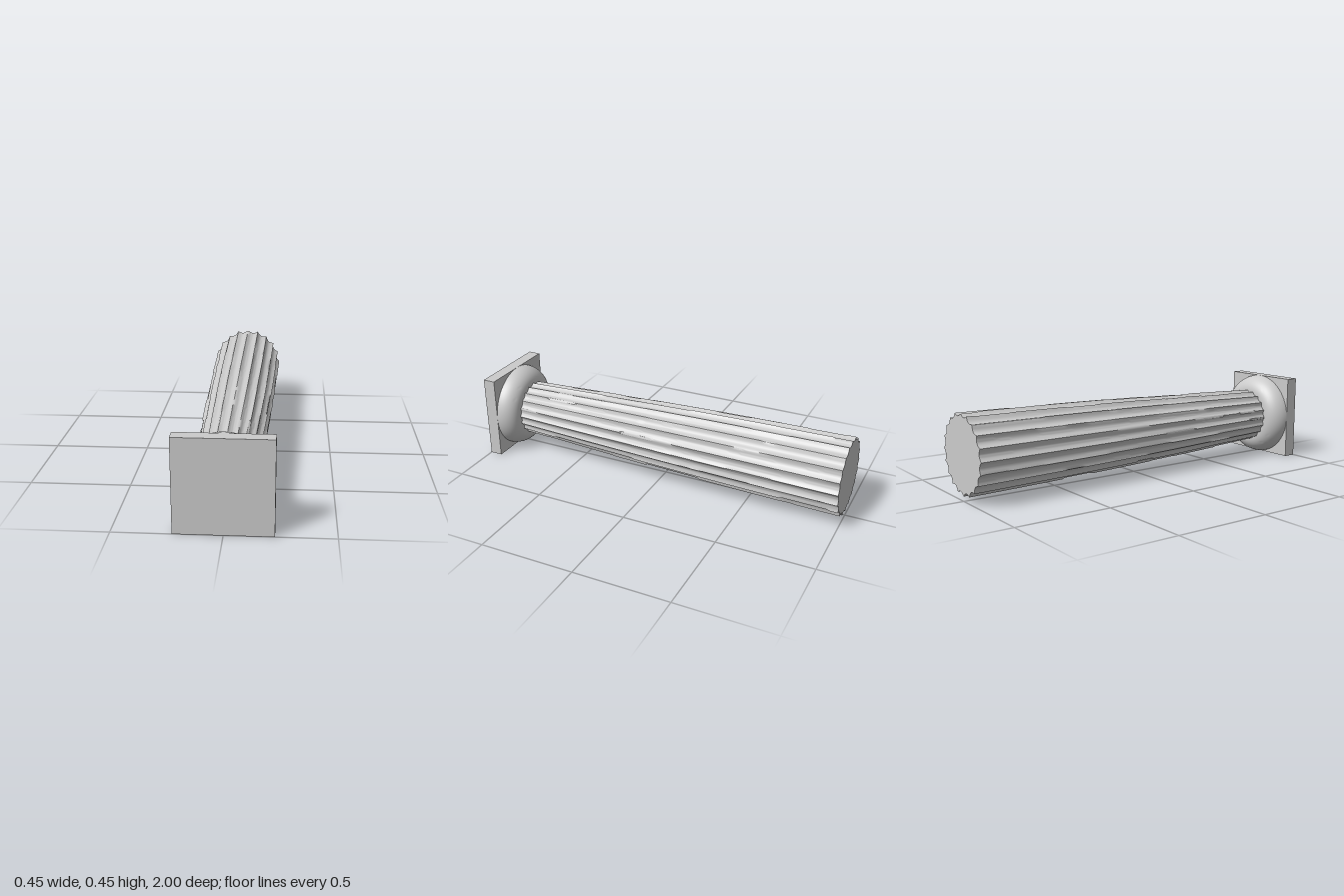
import * as THREE from 'three';
import { toCreasedNormals } from 'three/addons/utils/BufferGeometryUtils.js';

const FLUTES = 20, SEGS = 8, ROWS = 90;
const Z_BASE = -1, Z_NECK = 0.835, CENTER_Y = 0.226;

// Small seeded generator for the weathering
function seeded(seed) {
  return () => (seed = (seed * 16807) % 2147483647) / 2147483647;
}

// Chipped depth for every ridge, in runs of uneven length along the shaft
function makeWear() {
  const rand = seeded(4217);
  return Array.from({ length: FLUTES }, () => {
    const runs = [];
    while (runs.length <= ROWS) {
      const length = 2 + Math.floor(rand() * 14);
      const depth = rand() < 0.5 ? rand() * 0.006 : 0;
      for (let i = 0; i < length; i++) runs.push(depth);
    }
    return runs;
  });
}

// Tapered shaft with concave flutes and worn ridges
function shaftGeometry() {
  const wear = makeWear();
  const geo = new THREE.CylinderGeometry(1, 1, 1, FLUTES * SEGS, ROWS);
  const pos = geo.attributes.position;
  for (let i = 0; i < pos.count; i++) {
    const x = pos.getX(i), y = pos.getY(i), z = pos.getZ(i);
    const t = 0.5 - y;                                  // 0 at neck, 1 at foot
    const height = Z_NECK + (Z_BASE - Z_NECK) * t;
    if (Math.hypot(x, z) < 0.5) { pos.setXYZ(i, 0, height, 0); continue; }
    const step = Math.round(((Math.atan2(x, z) / (2 * Math.PI) + 1) % 1) * FLUTES * SEGS);
    const ridge = Math.round(step / SEGS) % FLUTES;
    const u = (step % SEGS) / SEGS * 2 - 1;             // -1..1 across one flute
    const R = 0.147 + 0.055 * t + 0.008 * Math.sin(Math.PI * t);
    const flute = R * (1 - 0.085 * (1 - u * u));
    const r = Math.min(flute, R - wear[ridge][Math.round(t * ROWS)]);
    pos.setXYZ(i, x * r, height, z * r);
  }
  return toCreasedNormals(geo.rotateX(Math.PI / 2), 0.5);
}

// Rounded cushion between shaft and slab
function cushionGeometry() {
  const profile = [new THREE.Vector2(0, 0.936)];
  for (let i = 0; i <= 12; i++) {
    const a = (i / 12) * Math.PI / 2;
    profile.push(new THREE.Vector2(0.14 + 0.086 * Math.cos(a), 0.936 - 0.098 * Math.sin(a)));
  }
  profile.push(new THREE.Vector2(0, 0.838));
  // Reversed so the profile runs upward and faces point outward
  const geo = new THREE.LatheGeometry(profile.reverse(), 64);
  return toCreasedNormals(geo.rotateX(Math.PI / 2), 0.5);
}

export function createModel() {
  const group = new THREE.Group();
  group.name = 'fallenColumn';
  const stone = new THREE.MeshStandardMaterial({ color: 0xcccccc });
  const add = (name, geometry, z = 0) => {
    const mesh = new THREE.Mesh(geometry, stone);
    mesh.name = name;
    mesh.position.set(0, CENTER_Y, z);
    group.add(mesh);
  };
  add('flutedShaft', shaftGeometry());
  add('capitalCushion', cushionGeometry());
  add('capitalSlab', new THREE.BoxGeometry(0.452, 0.452, 0.066), 0.967);
  return group;
}
